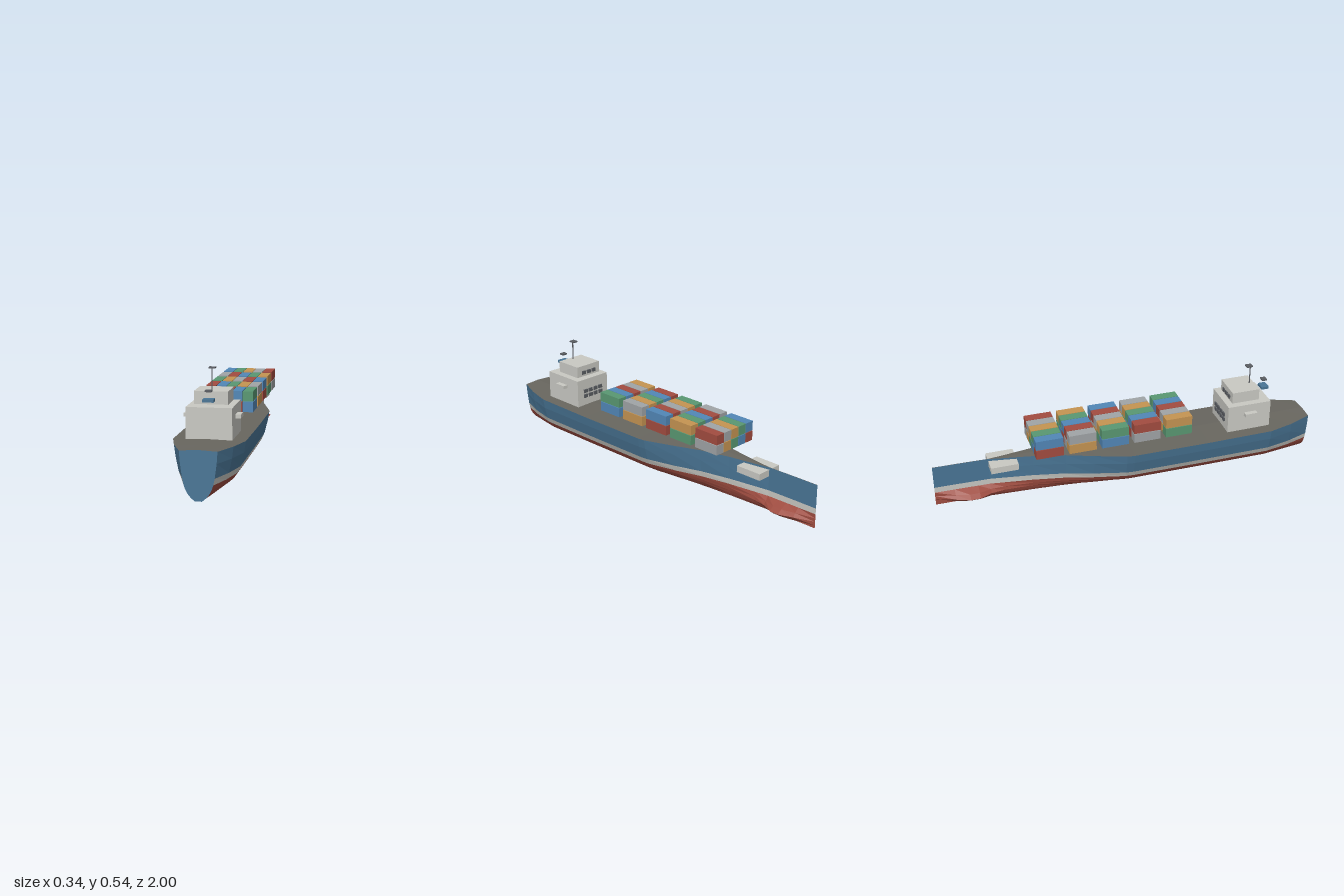
import * as THREE from 'three';

const mat = (name, color, side = THREE.FrontSide) => {
  const m = new THREE.MeshStandardMaterial({ color, side });
  m.name = name;
  return m;
};

// Hull stations: z, deck half width, deck edge height, lift of the lower lines, bow bulb half width
const stations = [
  [1.0, 0.084, 0.224, 0, 0],
  [0.88, 0.132, 0.223, 0, 0],
  [0.75, 0.166, 0.222, 0, 0],
  [0.4, 0.168, 0.219, 0, 0],
  [0.0, 0.167, 0.219, 0, 0],
  [-0.04, 0.164, 0.22, 0.001, 0],
  [-0.2, 0.117, 0.226, 0.003, 0],
  [-0.34, 0.073, 0.232, 0.008, 0],
  [-0.5, 0.037, 0.236, 0.011, 0],
  [-0.65, 0.012, 0.238, 0.013, 0.012],
  [-0.72, 0.001, 0.24, 0.014, 0.03],
  [-0.78, 0.001, 0.241, 0.015, 0.06],
  [-0.83, 0.001, 0.242, 0.016, 0.062],
  [-0.9, 0.001, 0.243, 0.017, 0.036],
  [-1.0, 0.001, 0.244, 0.018, 0],
];
// Section rows: share of the deck half width, height (null = deck edge), share of the bulb
const rows = [
  [1, null, 0], [0.95, 0.17, 0], [0.85, 0.106, 0], [0.77, 0.076, 0],
  [0.69, 0.055, 0.6], [0.58, 0.037, 1], [0.4, 0.018, 0.6], [0.19, 0.003, 0],
];

function hullPoint(s, r, side) {
  const [z, w, deckY, lift, bulb] = stations[s];
  const [f, y, b] = rows[r];
  return [side * (w * f + bulb * b), y === null ? deckY : y + lift, z];
}

// Facets given as quads, counter-clockwise from outside
function quadMesh(name, quads, material) {
  const pos = [];
  for (const [a, b, c, d] of quads) pos.push(...a, ...b, ...c, ...a, ...c, ...d);
  const g = new THREE.BufferGeometry();
  g.setAttribute('position', new THREE.Float32BufferAttribute(pos, 3));
  g.computeVertexNormals();
  const mesh = new THREE.Mesh(g, material);
  mesh.name = name;
  return mesh;
}

function hullBand(name, r0, r1, material) {
  const quads = [];
  for (const side of [1, -1])
    for (let s = 0; s < stations.length - 1; s++)
      for (let r = r0; r < r1; r++) {
        const q = [hullPoint(s, r, side), hullPoint(s, r + 1, side),
          hullPoint(s + 1, r + 1, side), hullPoint(s + 1, r, side)];
        quads.push(side > 0 ? q : q.reverse());
      }
  return quadMesh(name, quads, material);
}

function box(parent, name, material, w, h, d, x, y, z) {
  const m = new THREE.Mesh(new THREE.BoxGeometry(w, h, d), material);
  m.position.set(x, y, z);
  m.name = name;
  parent.add(m);
  return m;
}

export function createModel() {
  const ship = new THREE.Group();
  ship.name = 'containerShip';
  const hullBlue = mat('hullBlue', 0x4a7696, THREE.DoubleSide);
  const hullRed = mat('hullRed', 0x9e4c40, THREE.DoubleSide);
  const white = mat('offWhite', 0xc9c9c3, THREE.DoubleSide);
  const deckGrey = mat('deckGrey', 0x68665f, THREE.DoubleSide);
  const dark = mat('darkGrey', 0x5a5d62);
  const cargo = [
    mat('containerRed', 0xa24c40), mat('containerBlue', 0x5287b7),
    mat('containerGreen', 0x599872), mat('containerOrange', 0xc59452),
    mat('containerGrey', 0xa0a4a6),
  ];

  // Hull sides, with an open keel slot
  const hull = new THREE.Group();
  hull.name = 'hull';
  hull.add(hullBand('hullUpperSides', 0, 2, hullBlue));
  hull.add(hullBand('waterlineStripe', 2, 3, white));
  hull.add(hullBand('hullBottom', 3, rows.length - 1, hullRed));

  // Flat end wall
  const wall = [];
  for (let r = 0; r < rows.length - 1; r++)
    wall.push([hullPoint(0, r, -1), hullPoint(0, r + 1, -1), hullPoint(0, r + 1, 1), hullPoint(0, r, 1)]);
  const crown = (s) => [0, stations[s][2] + Math.min(0.005, stations[s][1] * 0.06), stations[s][0]];
  wall.push([hullPoint(0, 0, -1), hullPoint(0, 0, 1), crown(0), crown(0)]);
  hull.add(quadMesh('endWall', wall, hullBlue));

  // Cambered deck
  const deck = [];
  for (let s = 0; s < stations.length - 1; s++) {
    deck.push([crown(s), hullPoint(s, 0, 1), hullPoint(s + 1, 0, 1), crown(s + 1)]);
    deck.push([hullPoint(s, 0, -1), crown(s), crown(s + 1), hullPoint(s + 1, 0, -1)]);
  }
  hull.add(quadMesh('deck', deck, deckGrey));
  ship.add(hull);

  // Crossbeam housing near the narrow end
  box(ship, 'bowHousing', white, 0.145, 0.034, 0.14, 0, 0.211, -0.65);

  // Deckhouse, bridge and side wings
  const house = new THREE.Group();
  house.name = 'deckhouse';
  box(house, 'lowerHouse', white, 0.212, 0.15, 0.235, 0, 0.295, 0.6425);
  box(house, 'bridge', white, 0.156, 0.06, 0.148, 0, 0.405, 0.63);
  for (const s of [1, -1])
    box(house, 'bridgeWing', white, 0.028, 0.018, 0.066, s * 0.118, 0.319, 0.645);

  // Windows
  for (const y of [0.276, 0.304])
    for (let i = 0; i < 4; i++)
      box(house, 'window', dark, 0.024, 0.019, 0.008, (i - 1.5) * 0.035, y, 0.522);
  for (let i = 0; i < 3; i++)
    box(house, 'bridgeWindow', dark, 0.024, 0.019, 0.008, (i - 1) * 0.035, 0.397, 0.554);

  // Mast, lookout panel and lamp
  const pole = new THREE.Mesh(new THREE.CylinderGeometry(0.003, 0.003, 0.102, 8), dark);
  pole.position.set(0, 0.486, 0.68);
  pole.name = 'mast';
  house.add(pole);
  box(house, 'mastCap', dark, 0.03, 0.006, 0.034, 0, 0.538, 0.672);
  box(house, 'lookoutPanel', hullBlue, 0.05, 0.014, 0.04, 0, 0.403, 0.762);
  box(house, 'lamp', dark, 0.03, 0.008, 0.026, 0, 0.445, 0.761);
  ship.add(house);

  // Container stacks: five bays, two tiers, five across
  const stack = new THREE.Group();
  stack.name = 'containers';
  for (let bay = 0; bay < 5; bay++)
    for (let tier = 0; tier < 2; tier++)
      for (let k = 0; k < 5; k++)
        box(stack, 'container', cargo[(k + 2 + 2 * bay + tier) % 5], 0.05, 0.0495, 0.14,
          (k - 2) * 0.053, 0.298 + tier * 0.0525, 0.245 - bay * 0.169);
  ship.add(stack);
  return ship;
}
